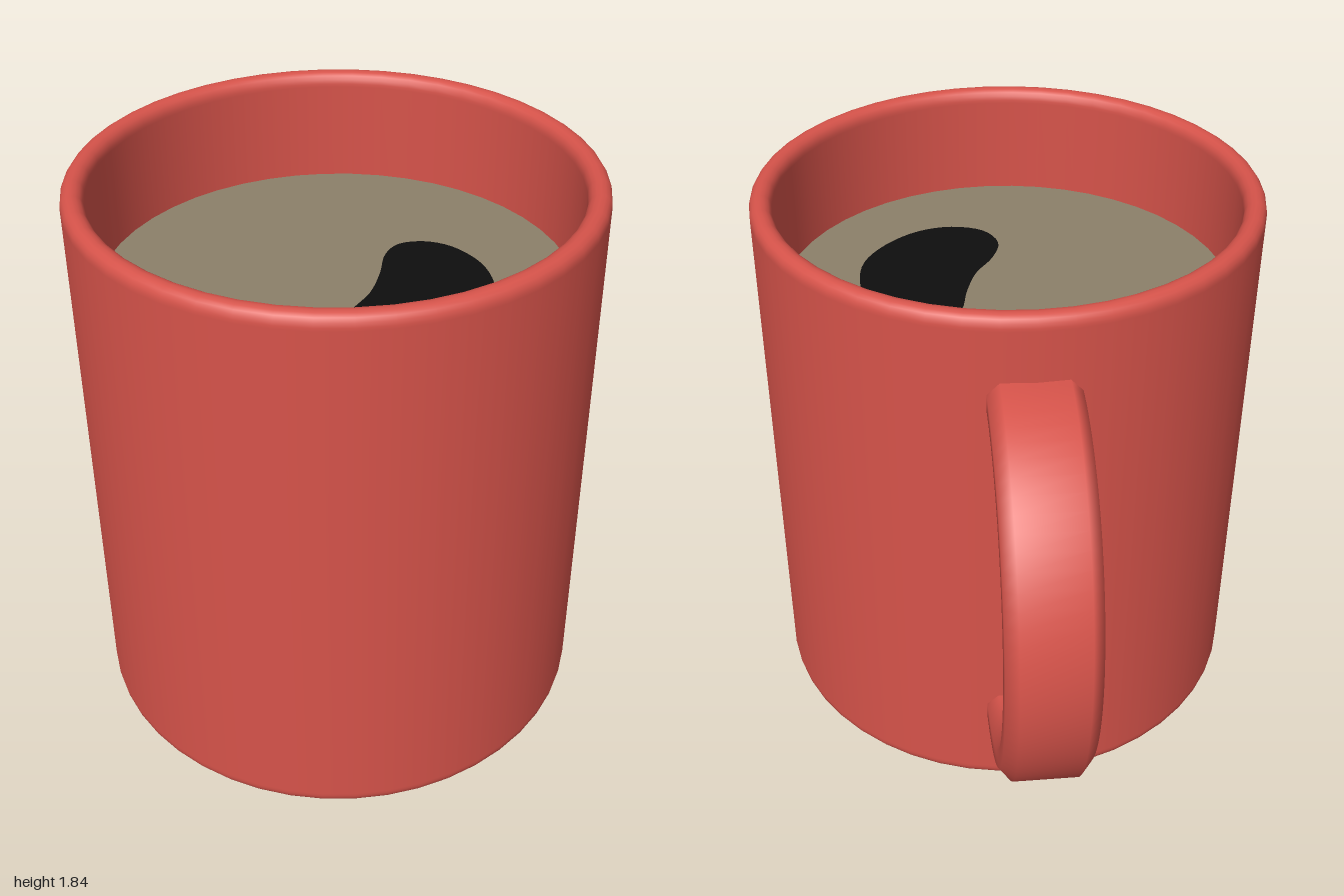
import * as THREE from 'three';

const red = new THREE.MeshStandardMaterial({ color: 0xd6534a });
red.name = 'red glaze';
const brown = new THREE.MeshStandardMaterial({ color: 0x8c806a, side: THREE.DoubleSide });
brown.name = 'drink brown';
const black = new THREE.MeshStandardMaterial({ color: 0x0e0e0e, side: THREE.DoubleSide });
black.name = 'black';

const CX = 0.06, CZ = 0.185;      // mug axis
const HEIGHT = 1.84, OUTER = 0.812, INNER = 0.742, LIQUID = 1.47;

function part(name, geometry, material) {
  const mesh = new THREE.Mesh(geometry, material);
  mesh.name = name;
  return mesh;
}

// Open tube wall with fully rounded rims, profile closed in a loop
function wallGeometry() {
  const f = (OUTER - INNER) / 2, mid = INNER + f, pts = [];
  const add = (x, y) => pts.push(new THREE.Vector2(x, y));
  const arc = (y, start) => {
    for (let i = 0; i <= 8; i++) {
      const a = start + (i / 8) * Math.PI;
      add(mid + f * Math.cos(a), y + f * Math.sin(a));
    }
  };
  add(INNER, HEIGHT / 2);
  add(INNER, f + 0.01);
  arc(f, Math.PI);
  add(OUTER, f + 0.01);
  add(OUTER, HEIGHT - f - 0.01);
  arc(HEIGHT - f, 0);
  add(INNER, HEIGHT - f - 0.01);
  add(INNER, HEIGHT / 2);
  return new THREE.LatheGeometry(pts, 48);
}

// Half-ellipse handle swept from a chamfered strap section
function handleGeometry() {
  const w = 0.1375, t = 0.07, cw = 0.037, ct = 0.042;
  const section = [
    [w - cw, t], [w, t - ct], [w, ct - t], [w - cw, -t],
    [cw - w, -t], [-w, ct - t], [-w, t - ct], [cw - w, t],
  ];
  const steps = 40, n = section.length, pos = [], idx = [];
  for (let i = 0; i <= steps; i++) {
    const a = (i / steps - 0.5) * Math.PI;
    for (const [u, v] of section) {
      pos.push(0.78 + (0.56 + v) * Math.cos(a), 0.94 + (0.62 + v) * Math.sin(a), u);
    }
  }
  for (let i = 0; i < steps; i++) {
    for (let j = 0; j < n; j++) {
      const a = i * n + j, b = i * n + (j + 1) % n;
      idx.push(a, b, a + n, b, b + n, a + n);
    }
  }
  const g = new THREE.BufferGeometry();
  g.setAttribute('position', new THREE.Float32BufferAttribute(pos, 3));
  // flip the winding so that faces point out of the strap
  for (let i = 0; i < idx.length; i += 3) [idx[i + 1], idx[i + 2]] = [idx[i + 2], idx[i + 1]];
  g.setIndex(idx);
  g.computeVertexNormals();
  return g;
}

// Bean-shaped patch floating on the drink, outline in x and z
function patchGeometry() {
  const outline = [
    [0.25, -0.19], [0.38, -0.15], [0.48, -0.06], [0.55, 0.06], [0.56, 0.2],
    [0.52, 0.34], [0.44, 0.43], [0.33, 0.465], [0.24, 0.42], [0.2, 0.32],
    [0.19, 0.2], [0.15, 0.08], [0.1, -0.03], [0.1, -0.11], [0.16, -0.17],
  ].map(([x, z]) => new THREE.Vector3(x, -z, 0));
  const curve = new THREE.CatmullRomCurve3(outline, true);
  const shape = new THREE.Shape(curve.getPoints(60).slice(0, -1).map(p => new THREE.Vector2(p.x, p.y)));
  return new THREE.ShapeGeometry(shape).rotateX(-Math.PI / 2);
}

export function createModel() {
  const model = new THREE.Group();
  model.name = 'mug';

  const wall = part('mugWall', wallGeometry(), red);
  wall.position.set(CX, 0, CZ);

  const handle = part('handle', handleGeometry(), red);
  handle.position.set(CX, 0, CZ);
  handle.rotation.y = Math.atan2(0.798, -0.603);

  const drink = part('drink', new THREE.CircleGeometry(INNER + 0.003, 48).rotateX(-Math.PI / 2), brown);
  drink.position.set(CX, LIQUID, CZ);

  const patch = part('floatingPatch', patchGeometry(), black);
  patch.position.y = LIQUID + 0.005;

  model.add(wall, handle, drink, patch);
  return model;
}
